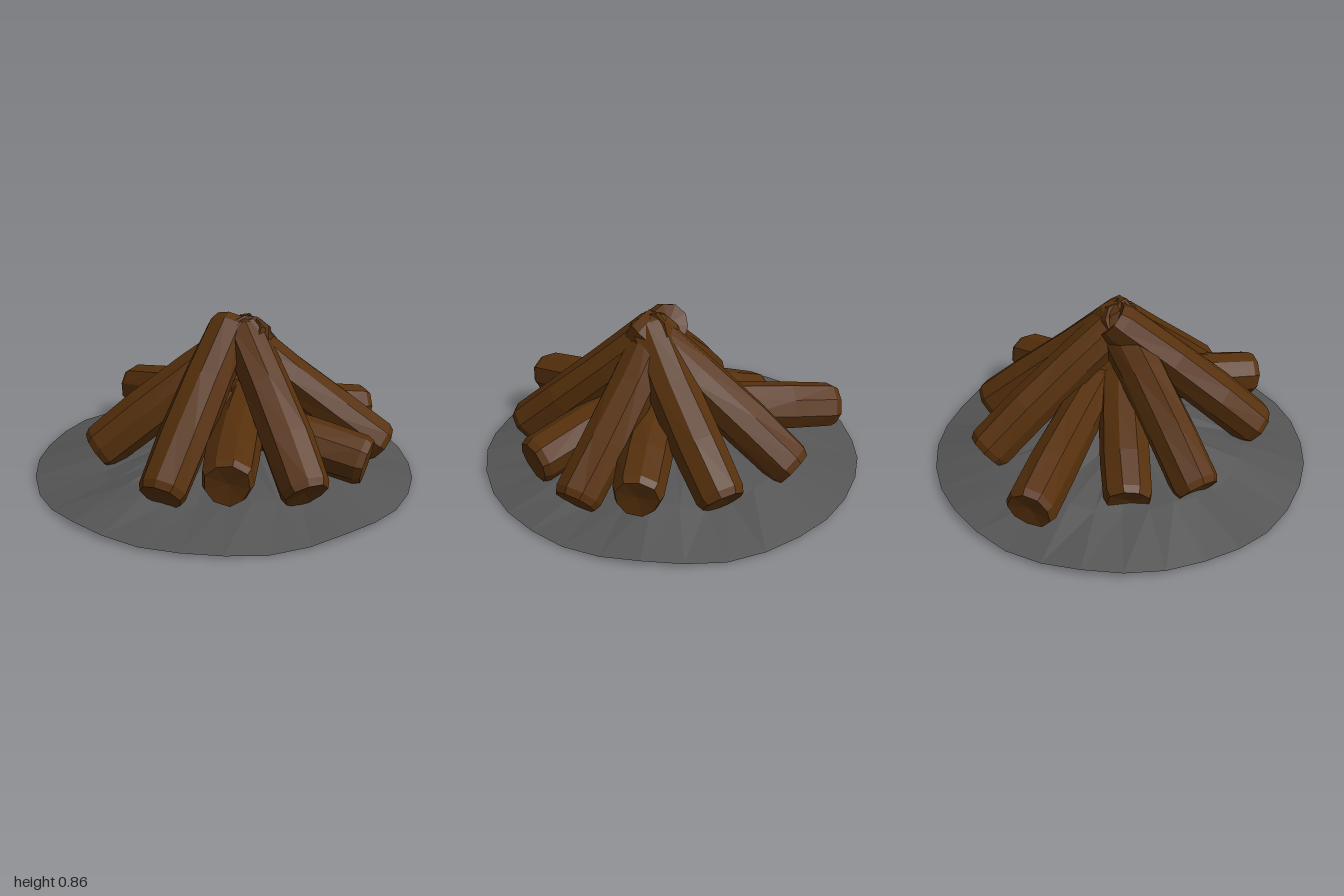
import * as THREE from 'three';

const UP = new THREE.Vector3(0, 1, 0);

// Rough nine-sided log with small bevels and slightly dished ends, running from outer to inner point
function makeLog(name, outer, inner, radius, seed, material) {
  const a = new THREE.Vector3(...outer);
  const b = new THREE.Vector3(...inner);
  const length = a.distanceTo(b);
  const profile = [
    [0, 0.015], [0.87, 0], [1, 0.035], [1.04, length * 0.3], [1, length * 0.62],
    [0.97, length - 0.05], [0.82, length], [0, length - 0.03],
  ].map(([r, y]) => new THREE.Vector2(r * radius, y));
  const geometry = new THREE.LatheGeometry(profile, 9, seed);

  // Uneven bark and a gentle bend
  const p = geometry.attributes.position;
  for (let i = 0; i < p.count; i++) {
    const x = p.getX(i), y = p.getY(i), z = p.getZ(i);
    const angle = Math.atan2(z, x);
    const t = y / length;
    const k = 1 + 0.04 * Math.sin(angle * 3 + seed * 2) + 0.03 * Math.sin(angle * 2 + t * 5 + seed);
    const bend = 0.012 * Math.sin(t * Math.PI);
    p.setXYZ(i, x * k + bend * Math.cos(seed * 3), y, z * k + bend * Math.sin(seed * 3));
  }
  geometry.computeVertexNormals();

  const log = new THREE.Mesh(geometry, material);
  log.name = name;
  log.position.copy(a);
  log.quaternion.setFromUnitVectors(UP, b.sub(a).normalize());
  return log;
}

// Shallow uneven ash mound with a wavy rim, a little fuller on one side
function makeMound(material) {
  const geometry = new THREE.RingGeometry(0.001, 1, 32, 3).rotateX(-Math.PI / 2);
  const p = geometry.attributes.position;
  for (let i = 0; i < p.count; i++) {
    const x = p.getX(i), z = p.getZ(i);
    const r = Math.hypot(x, z);
    const angle = Math.atan2(z, x);
    const rim = 0.016 + 0.008 * Math.sin(angle * 5 + 1) + 0.007 * Math.sin(angle * 9);
    const side = Math.max(0, -x);
    const fullness = 0.02 * side ** 3 + 0.1 * side * (1 - r);
    const lumps = 0.08 * r * (1 - r) * Math.sin(angle * 7 + r * 6);
    p.setY(i, rim * r + fullness + 0.235 * (1 - r) + lumps);
  }
  geometry.computeVertexNormals();
  const mound = new THREE.Mesh(geometry, material);
  mound.name = 'ashMound';
  return mound;
}

export function createModel() {
  const model = new THREE.Group();
  model.name = 'campfire';
  const wood = new THREE.MeshStandardMaterial({ color: 0x56300c, flatShading: true });
  const ash = new THREE.MeshStandardMaterial({ color: 0x555555, flatShading: true, side: THREE.DoubleSide });
  model.add(makeMound(ash));

  // Leaning logs that cross at the peak: [outer end, inner end]
  const leaning = [
    [[0.275, 0.14, 0.69], [0.015, 0.785, -0.05]],
    [[0.755, 0.15, 0.215], [0.06, 0.77, -0.06]],
    [[0.615, 0.14, -0.555], [0.05, 0.77, 0.0]],
    [[-0.06, 0.15, -0.745], [0.13, 0.775, 0.0]],
    [[-0.48, 0.15, -0.56], [0.18, 0.775, 0.0]],
    [[-0.365, 0.145, 0.56], [0.15, 0.77, -0.12]],
  ];
  // Lower logs lying between them
  const lying = [
    [[0.59, 0.265, 0.57], [0.1, 0.38, -0.08]],
    [[0.77, 0.185, -0.23], [-0.02, 0.38, 0.12]],
    [[0.355, 0.235, -0.74], [0.03, 0.38, 0.02]],
    [[-0.88, 0.215, -0.11], [0.04, 0.37, -0.14]],
    [[-0.57, 0.135, 0.27], [0.1, 0.41, -0.02]],
  ];
  const pile = new THREE.Group();
  pile.name = 'logPile';
  leaning.forEach(([o, i], n) => pile.add(makeLog('leaningLog' + (n + 1), o, i, 0.122, n * 1.3 + 0.4, wood)));
  lying.forEach(([o, i], n) => pile.add(makeLog('lyingLog' + (n + 1), o, i, 0.124, n * 1.7 + 0.9, wood)));
  model.add(pile);
  return model;
}
